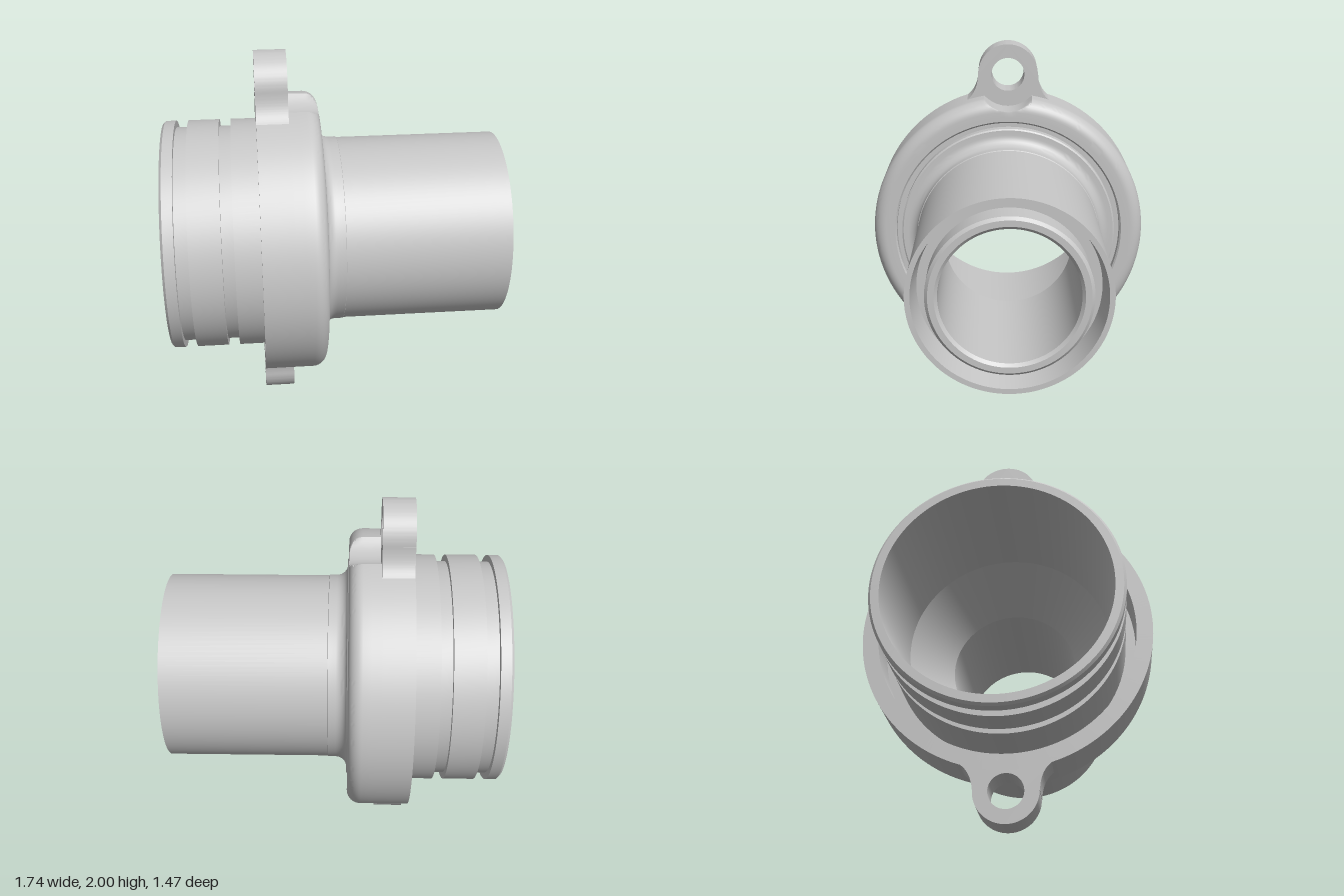
import * as THREE from 'three';
import { toCreasedNormals } from 'three/addons/utils/BufferGeometryUtils.js';

const AXIS_Y = 1;       // height of the pipe axis
const LUG_R = 0.84;     // distance of the bolt holes from the axis
const POCKET_R = 0.17;  // clearance pocket for the bolt head
const LUG_FRONT = -0.23;
const BACK = -0.39;

// points of an arc as [radius, x]
function arc(cr, cx, r, from, to, steps = 8) {
  return Array.from({ length: steps + 1 }, (_, i) => {
    const a = from + (to - from) * i / steps;
    return [cr + r * Math.cos(a), cx + r * Math.sin(a)];
  });
}

// closed [radius, x] profile turned around the x axis
function turn(profile, segments) {
  const points = [...profile, profile[0]].map(([r, x]) => new THREE.Vector2(r, x));
  return new THREE.LatheGeometry(points, segments).rotateZ(-Math.PI / 2);
}

// grooved socket, shoulder and double-walled spout
function makePipe() {
  return toCreasedNormals(turn([
    [0.55, -0.87], [0.59, -0.87], [0.602, -0.858],
    [0.602, -0.805], [0.567, -0.805], [0.567, -0.74], [0.602, -0.74],
    [0.602, -0.58], [0.567, -0.58], [0.567, -0.52], [0.602, -0.52],
    [0.602, -0.12], [0.58, -0.12], [0.58, -0.07], [0.572, -0.065], [0.545, -0.065],
    ...arc(0.545, -0.01, 0.055, -Math.PI / 2, -Math.PI),
    [0.49, 0.03], [0.486, 0.032], [0.486, 0.87],
    // gap between the outer and inner spout walls
    [0.46, 0.87], [0.44, 0.72], [0.395, 0.72], [0.395, 0.85], [0.38, 0.865],
    [0.35, 0.865], [0.335, 0.85],
    // bore
    [0.335, 0.1], [0.53, -0.18],
  ], 128), 0.5);
}

// hollow collar with a rounded front rim, cut by the two bolt pockets
function makeCollar() {
  const geo = turn([
    [0.655, BACK], [0.737, BACK], [0.737, LUG_FRONT], [0.737, LUG_FRONT + 1e-5],
    [0.737, -0.18],
    ...arc(0.667, -0.14, 0.07, 0, Math.PI / 2, 10),
    [0.64, -0.07], [0.618, -0.07], [0.61, -0.078],
    [0.61, -0.12], [0.6, -0.12], [0.6, -0.17], [0.655, -0.17],
  ], 288);
  const pos = geo.attributes.position;
  for (let i = 0; i < pos.count; i++) {
    const x = pos.getX(i), y = pos.getY(i), z = pos.getZ(i);
    if (x < LUG_FRONT + 5e-6) continue;
    const r = Math.hypot(y, z), cos = Math.abs(y) / r, sin = z / r;
    const d = POCKET_R ** 2 - (LUG_R * sin) ** 2;
    if (d < 0 || cos < 0.5) continue;
    const k = Math.min(1, (LUG_R * cos - Math.sqrt(d)) / r);
    pos.setXYZ(i, x, y * k, z * k);
  }
  return toCreasedNormals(geo, 0.5);
}

// bolt ear flaring into the collar
function makeLug() {
  const s = new THREE.Shape();
  const a = Math.atan2(0.685, 0.25);
  s.moveTo(0.25, 0.685);
  s.quadraticCurveTo(0.165, 0.725, 0.162, 0.84);
  s.absarc(0, LUG_R, 0.16, 0, Math.PI, false);
  s.quadraticCurveTo(-0.165, 0.725, -0.25, 0.685);
  s.absarc(0, 0, 0.67, Math.PI - a, a, true);
  const hole = new THREE.Path();
  hole.absarc(0, LUG_R, 0.088, 0, Math.PI * 2, true);
  s.holes.push(hole);
  const geo = new THREE.ExtrudeGeometry(s, {
    depth: LUG_FRONT - BACK, bevelEnabled: false, curveSegments: 32,
  });
  return toCreasedNormals(geo.rotateY(Math.PI / 2).translate(BACK, 0, 0), 0.5);
}

export function createModel() {
  const model = new THREE.Group();
  model.name = 'pipeFitting';
  const grey = new THREE.MeshStandardMaterial({ color: 0xc6c6c6 });
  grey.name = 'light grey';

  const add = (name, geo) => {
    const mesh = new THREE.Mesh(geo, grey);
    mesh.name = name;
    mesh.position.y = AXIS_Y;
    model.add(mesh);
    return mesh;
  };

  add('pipe', makePipe());
  add('collar', makeCollar());
  const lug = makeLug();
  add('upperLug', lug);
  add('lowerLug', lug).rotation.x = Math.PI;
  return model;
}
